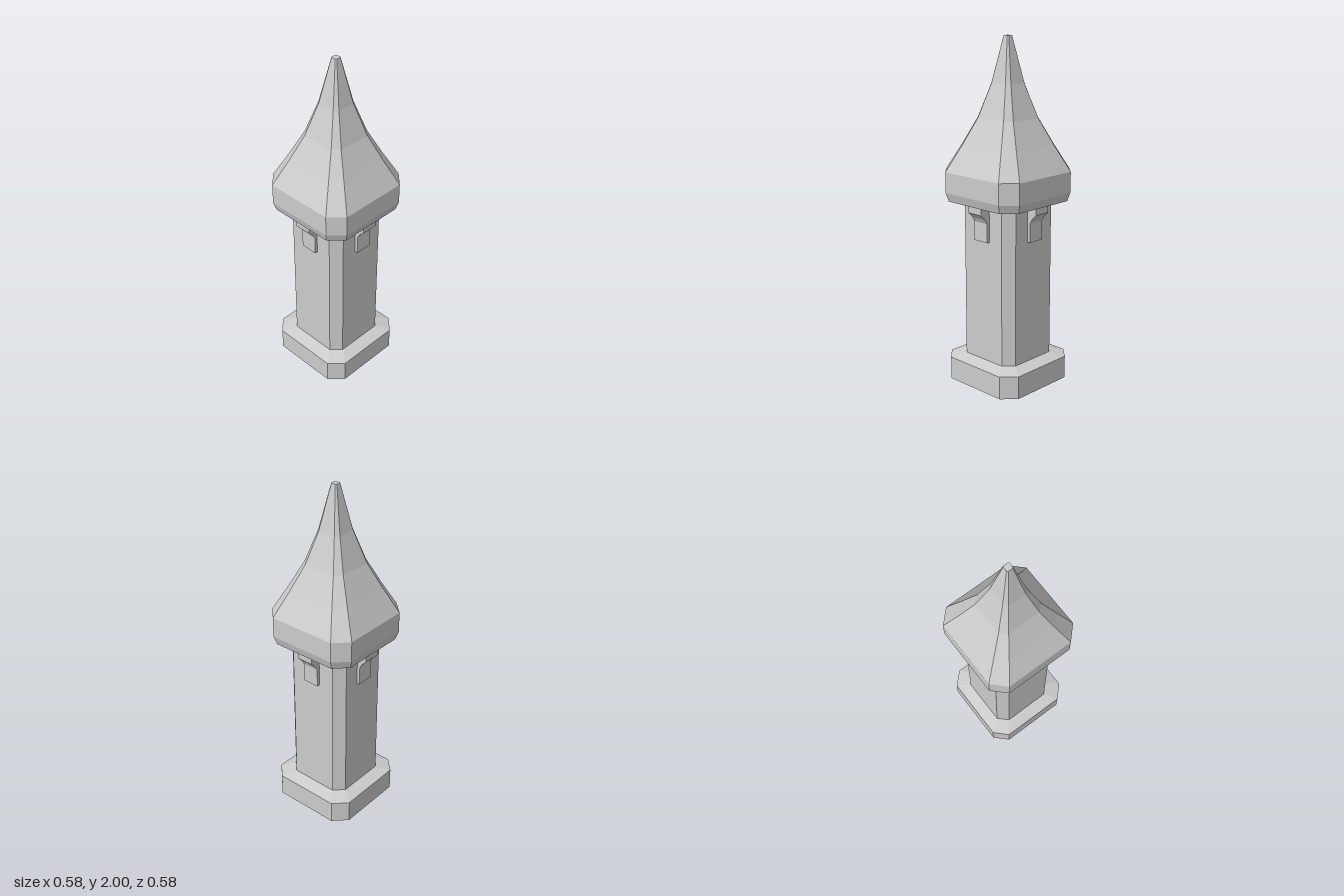
import * as THREE from 'three';

const material = new THREE.MeshStandardMaterial({ color: 0xcccccc, flatShading: true, side: THREE.DoubleSide });

// Square of half-width a with chamfered corners; b is half the length of a straight side
function ring([y, a, b]) {
  return [[a, -b], [a, b], [b, a], [-b, a], [-a, b], [-a, -b], [-b, -a], [b, -a]]
    .map(([x, z]) => [x, y, z]);
}

// Faceted shell through a stack of chamfered squares, optionally closed on top
function shell(name, sections, capped = false) {
  const rings = sections.map(ring);
  const pos = [];
  const tri = (...pts) => pts.forEach((p) => pos.push(...p));
  for (let k = 0; k < rings.length - 1; k++) {
    const lo = rings[k], hi = rings[k + 1];
    for (let i = 0; i < 8; i++) {
      const j = (i + 1) % 8;
      tri(lo[j], lo[i], hi[i]);
      tri(lo[j], hi[i], hi[j]);
    }
  }
  if (capped) {
    const top = rings[rings.length - 1];
    for (let i = 1; i < 7; i++) tri(top[0], top[i + 1], top[i]);
  }
  const geometry = new THREE.BufferGeometry();
  geometry.setAttribute('position', new THREE.Float32BufferAttribute(pos, 3));
  geometry.computeVertexNormals();
  const mesh = new THREE.Mesh(geometry, material);
  mesh.name = name;
  return mesh;
}

export function createModel() {
  const group = new THREE.Group();
  group.name = 'tower';

  // Plinth, open underneath, with a sloped shoulder
  group.add(shell('plinth', [[0, 0.275, 0.2], [0.135, 0.275, 0.2], [0.16, 0.2, 0.145]]));

  // Shaft
  group.add(shell('shaft', [[0.16, 0.2, 0.145], [1.08, 0.2, 0.145]]));

  // Roof: flat underside, eaves band and concave spire
  group.add(shell('roof', [
    [1.08, 0.2, 0.145], [1.08, 0.273, 0.199], [1.13, 0.288, 0.209], [1.25, 0.288, 0.209],
    [1.4, 0.21, 0.152], [1.55, 0.137, 0.1], [1.74, 0.075, 0.054], [2, 0.019, 0.013],
  ], true));

  // One curved bracket under the eaves on each side
  const profile = new THREE.Shape([
    [0.195, 0.875], [0.218, 0.875], [0.218, 0.985], [0.232, 1.01],
    [0.262, 1.04], [0.262, 1.08], [0.195, 1.08],
  ].map(([x, y]) => new THREE.Vector2(x, y)));
  const bracketGeometry = new THREE.ExtrudeGeometry(profile, { depth: 0.1, bevelEnabled: false });
  bracketGeometry.translate(0, 0, -0.05);
  ['left', 'back', 'right', 'front'].forEach((side, i) => {
    const bracket = new THREE.Mesh(bracketGeometry, material);
    bracket.name = side + 'Bracket';
    bracket.rotation.y = i * Math.PI / 2;
    group.add(bracket);
  });

  return group;
}
